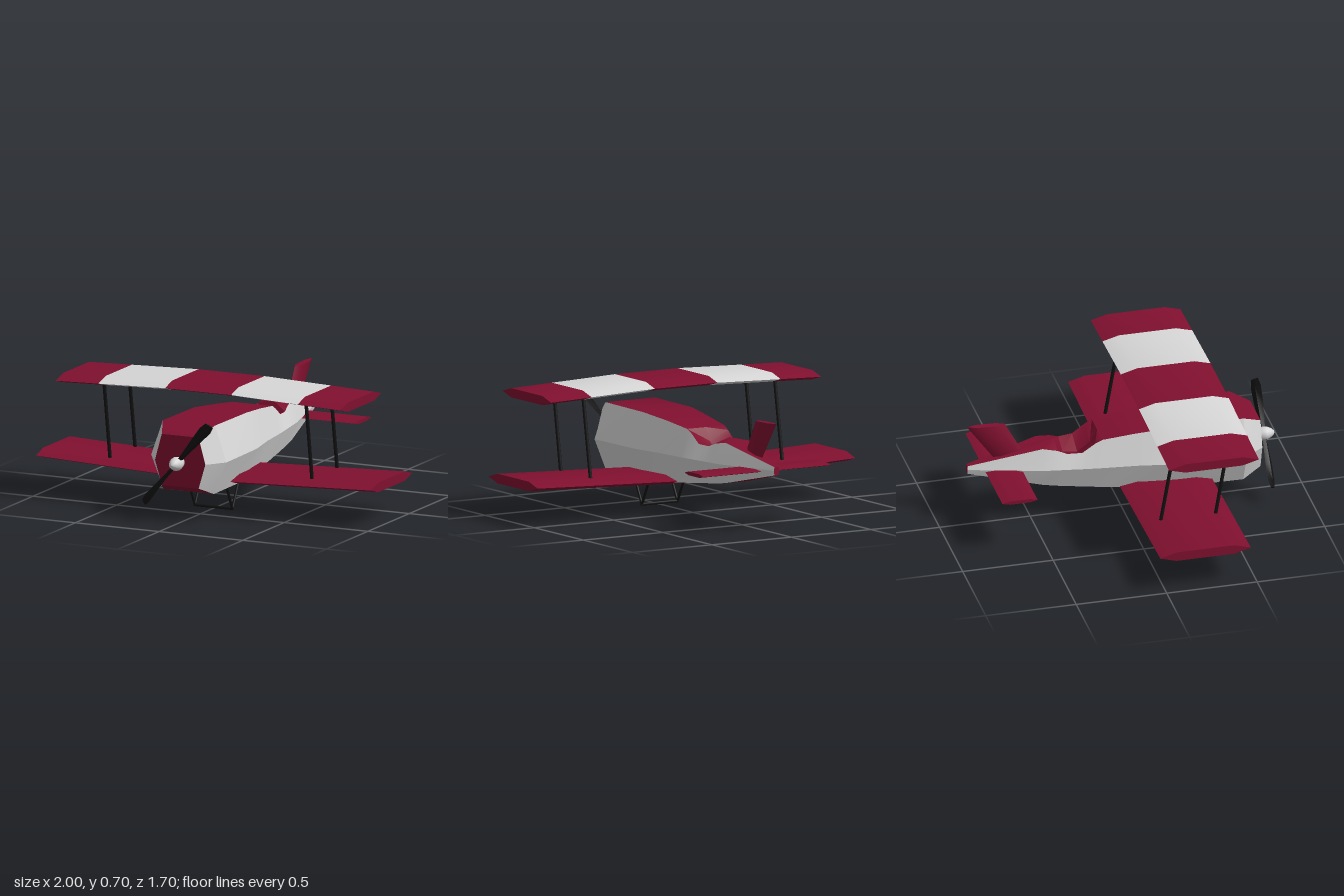
import * as THREE from 'three';
import { mergeVertices, toCreasedNormals } from 'three/addons/utils/BufferGeometryUtils.js';

const material = (name, color) => {
  const m = new THREE.MeshStandardMaterial({ color });
  m.name = name;
  return m;
};

// Skin over rings of points; each ring runs counter-clockwise seen from the first end.
// sides: which strips to build (all by default)
function loft(rings, { sides = null, startCap = true, endCap = true, crease = 0.6 } = {}) {
  const n = rings[0].length, index = [];
  for (let i = 0; i < rings.length - 1; i++) {
    for (let j = 0; j < n; j++) {
      if (sides && !sides.includes(j)) continue;
      const a = i * n + j, b = i * n + (j + 1) % n, c = b + n, d = a + n;
      index.push(a, d, c, a, c, b);
    }
  }
  const last = (rings.length - 1) * n;
  for (let j = 1; j < n - 1; j++) {
    if (startCap) index.push(0, j, j + 1);
    if (endCap) index.push(last, last + j + 1, last + j);
  }
  const g = new THREE.BufferGeometry();
  g.setAttribute('position', new THREE.Float32BufferAttribute(rings.flat(2), 3));
  g.setIndex(index);
  return toCreasedNormals(mergeVertices(g), crease);
}

export function createModel() {
  const red = material('crimson', 0x80102f);
  const grey = material('pale grey', 0xd6d6d6);
  const black = material('black', 0x121212);

  const model = new THREE.Group();
  model.name = 'biplane';
  const add = (name, geometry, mat, parent = model) => {
    const mesh = new THREE.Mesh(geometry, mat);
    mesh.name = name;
    parent.add(mesh);
    return mesh;
  };
  const rod = (name, from, to, radius, sides = 8) => {
    const a = new THREE.Vector3(...from), b = new THREE.Vector3(...to);
    const mesh = add(name, new THREE.CylinderGeometry(radius, radius, a.distanceTo(b), sides), black);
    mesh.position.copy(a).add(b).multiplyScalar(0.5);
    mesh.quaternion.setFromUnitVectors(new THREE.Vector3(0, 1, 0), b.sub(a).normalize());
    return mesh;
  };

  // Fuselage: z, top edge y, top centre y, bottom y, half widths at middle, top, bottom
  const stations = [
    [0.745, 0.475, 0.475, 0.195, 0.15, 0.11, 0.11],
    [0.64, 0.525, 0.525, 0.15, 0.225, 0.155, 0.15],
    [0.26, 0.522, 0.522, 0.15, 0.217, 0.155, 0.145],
    [0.05, 0.502, 0.502, 0.168, 0.18, 0.133, 0.125],
    [-0.13, 0.48, 0.48, 0.187, 0.16, 0.118, 0.11],
    [-0.17, 0.46, 0.41, 0.191, 0.155, 0.115, 0.105],
    [-0.24, 0.412, 0.36, 0.2, 0.145, 0.112, 0.1],
    [-0.32, 0.41, 0.37, 0.208, 0.132, 0.1, 0.09],
    [-0.37, 0.43, 0.458, 0.214, 0.125, 0.09, 0.085],
    [-0.45, 0.444, 0.446, 0.225, 0.112, 0.075, 0.075],
    [-0.85, 0.36, 0.36, 0.315, 0.018, 0.013, 0.013],
  ];
  const hull = stations.map(([z, yt, yc, yb, w, wt, wb]) => {
    const ym = z < -0.45 ? 0.34 : 0.33;
    return [[w, ym, z], [wt, yt, z], [0, yc, z], [-wt, yt, z], [-w, ym, z], [-wb, yb, z], [wb, yb, z]];
  });
  add('fuselageTopBottomAndEnds', loft(hull, { sides: [1, 2, 5] }), red);
  add('fuselageSides', loft(hull, { sides: [0, 3, 4, 6], startCap: false, endCap: false, crease: 0.3 }), grey);

  // Wings: flat hexagonal sections lofted from left to right
  const wingRing = (x, y, z, chord, t) => {
    const h = chord / 2, k = h - 0.09;
    return [[x, y, z - h], [x, y + t, z - k], [x, y + t, z + k],
      [x, y, z + h], [x, y - t, z + k], [x, y - t, z - k]];
  };
  const upper = x => {
    const d = Math.max(0, Math.abs(x) - 0.2);
    return wingRing(x + 0.01, 0.68 - d * 0.034, 0.302, 0.496, 0.025);
  };
  const upperWing = new THREE.Group();
  upperWing.name = 'upperWing';
  model.add(upperWing);
  const edges = [0.85, 0.595, 0.197, -0.197, -0.595, -0.85];
  const panels = ['leftTip', 'leftStripe', 'centrePanel', 'rightStripe', 'rightTip'];
  panels.forEach((name, i) => add(name,
    loft([upper(edges[i]), upper(edges[i + 1])], { startCap: i === 0, endCap: i === 4 }),
    i % 2 ? grey : red, upperWing));

  const lower = x => wingRing(x, 0.182 + Math.max(0, Math.abs(x) - 0.1) * 0.038, 0.215, 0.5, 0.026);
  add('lowerWing', loft([1, 0.1, -0.1, -1].map(lower)), red);

  // Tailplane
  const tailRing = x => [[x, 0.325, -0.755], [x, 0.335, -0.71], [x, 0.335, -0.6],
    [x, 0.325, -0.56], [x, 0.315, -0.6], [x, 0.315, -0.71]];
  add('tailplane', loft([0.4, -0.4].map(tailRing)), red);

  // Swept fin
  const finRing = (yf, zf, yb, zb) => [[0, 0], [0.018, 0.2], [0.018, 0.75], [0, 1], [-0.018, 0.75], [-0.018, 0.2]]
    .map(([x, t]) => [x, yf + (yb - yf) * t, zf + (zb - zf) * t]);
  add('fin', loft([finRing(0.585, -0.64, 0.592, -0.848), finRing(0.41, -0.545, 0.37, -0.69)]), red);

  // Wing struts and landing gear, mirrored
  for (const [side, s] of [['left', 1], ['right', -1]]) {
    rod(side + 'FrontStrut', [0.603 * s, 0.65, 0.443], [0.603 * s, 0.215, 0.37], 0.01);
    rod(side + 'RearStrut', [0.603 * s, 0.65, 0.143], [0.603 * s, 0.215, 0.067], 0.01);
    rod(side + 'FrontGearLeg', [0.112 * s, 0.17, 0.427], [0.112 * s, 0.008, 0.34], 0.007);
    rod(side + 'RearGearLeg', [0.112 * s, 0.17, 0.253], [0.112 * s, 0.008, 0.34], 0.007);
  }
  rod('axle', [-0.118, 0.008, 0.34], [0.118, 0.008, 0.34], 0.008);

  // Propeller with two pitched blades
  const propeller = new THREE.Group();
  propeller.name = 'propeller';
  propeller.position.set(0, 0.33, 0.79);
  propeller.rotation.z = -0.71;
  model.add(propeller);
  const bladeRing = (y, chord, t, pitch) => {
    const c = Math.cos(pitch), s = Math.sin(pitch), h = chord / 2;
    return [[h, 0], [0, -t], [-h, 0], [0, t]].map(([x, z]) => [x * c + z * s, y, z * c - x * s]);
  };
  const blade = loft([bladeRing(0.3, 0.05, 0.006, 0.6), bladeRing(0.26, 0.07, 0.009, 0.7),
    bladeRing(0.17, 0.058, 0.011, 0.85), bladeRing(0, 0.022, 0.011, 1)]);
  for (let i = 0; i < 2; i++) add('blade' + (i + 1), blade, black, propeller).rotation.z = i * Math.PI;

  // Spinner
  const profile = [[0, -0.05], [0.026, -0.05], [0.038, 0], [0.036, 0.015], [0.024, 0.042], [0.011, 0.056], [0, 0.06]];
  const spinner = new THREE.LatheGeometry(profile.map(p => new THREE.Vector2(...p)), 16);
  add('spinner', spinner.rotateX(Math.PI / 2), grey, propeller);

  return model;
}
